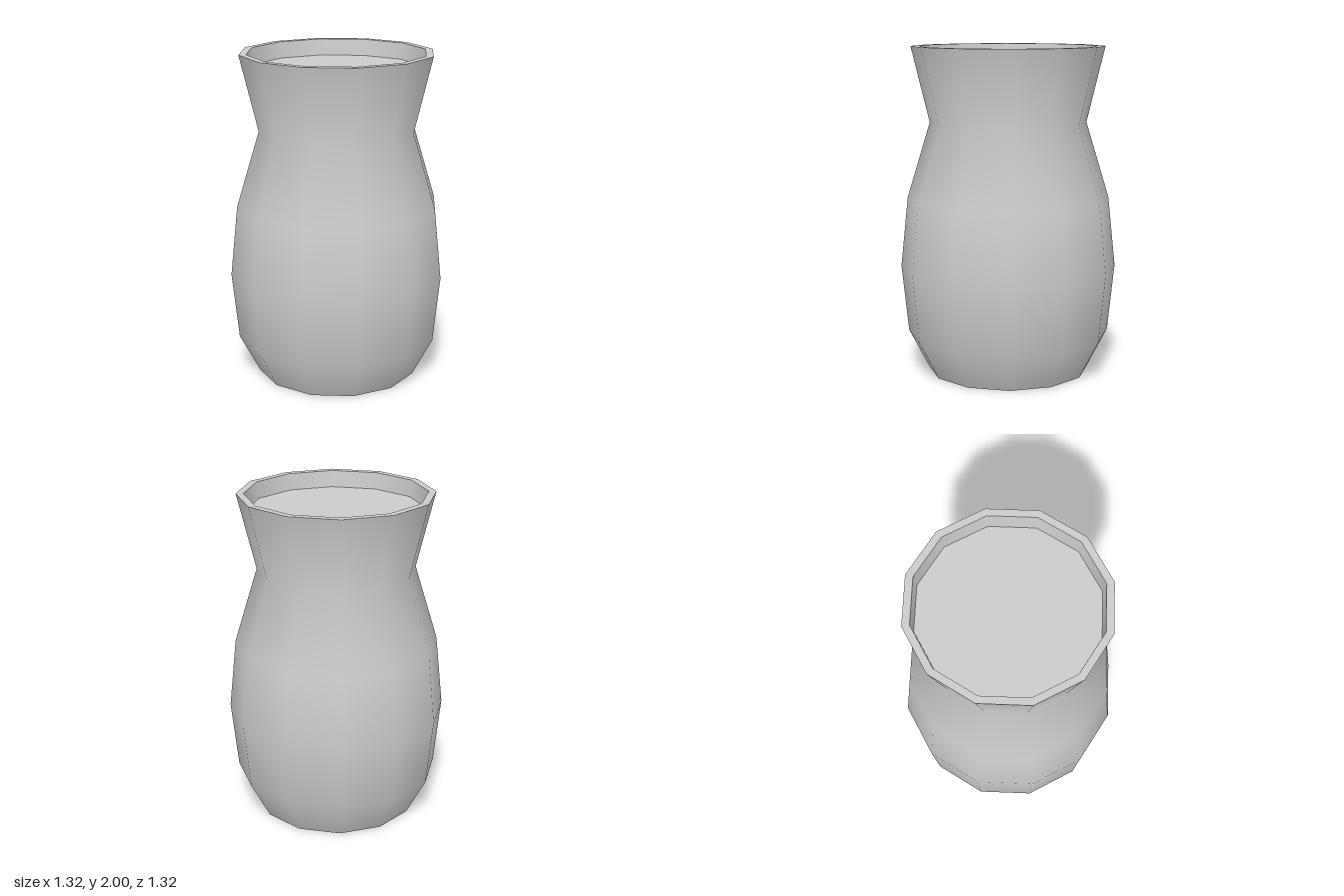
import * as THREE from 'three';

const SIDES = 12;
const RIM_Y = 2;
const FILL_Y = 1.9;

export function createModel() {
  const group = new THREE.Group();
  group.name = 'vase';
  const material = new THREE.MeshStandardMaterial({ color: 0xcccccc });

  // Each part is its own lathe, so the edges between parts stay sharp
  const addLathe = (name, profile) => {
    const points = profile.map(([r, y]) => new THREE.Vector2(r, y));
    const mesh = new THREE.Mesh(new THREE.LatheGeometry(points, SIDES), material);
    mesh.name = name;
    group.add(mesh);
  };

  // Closed underside
  addLathe('base', [[0, 0], [0.495, 0]]);

  // Rounded belly, pinched neck and flared mouth
  addLathe('body', [
    [0.495, 0], [0.62, 0.24], [0.662, 0.65],
    [0.617, 1.08], [0.477, 1.54], [0.588, RIM_Y],
  ]);

  // Flat lip and the short inner wall below it
  addLathe('rim', [[0.588, RIM_Y], [0.543, RIM_Y]]);
  addLathe('innerWall', [[0.543, RIM_Y], [0.528, FILL_Y]]);

  // Flat surface filling the mouth
  addLathe('filling', [[0.528, FILL_Y], [0, FILL_Y]]);

  return group;
}
